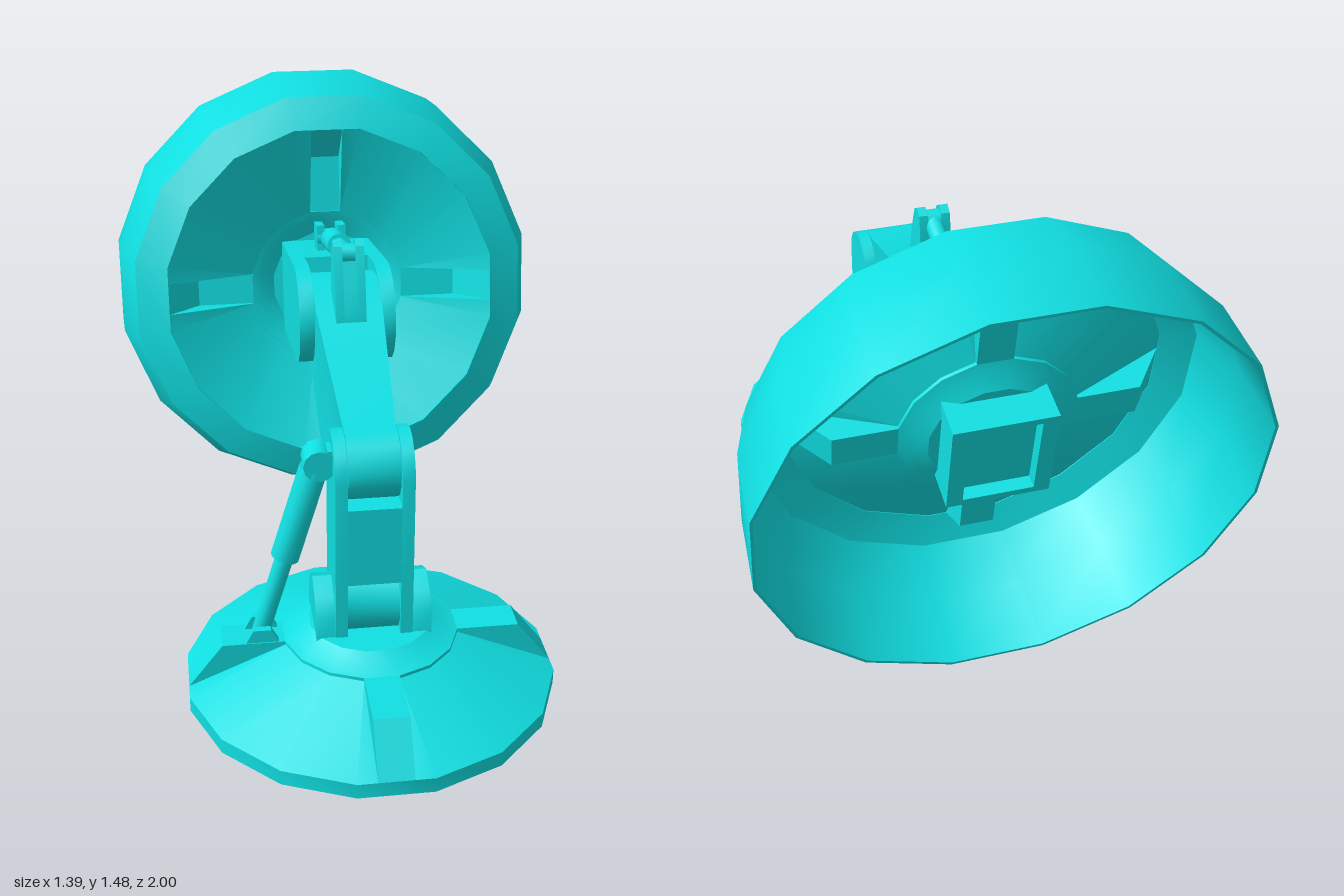
import * as THREE from 'three';
import { toCreasedNormals } from 'three/addons/utils/BufferGeometryUtils.js';

const SIDES = 16, HALF = Math.PI / SIDES, OUT = 1 / Math.cos(HALF);
const mat = new THREE.MeshStandardMaterial({ color: 0x10dfe2, side: THREE.DoubleSide });

function add(parent, name, geo, crease = 0.6) {
  const m = new THREE.Mesh(toCreasedNormals(geo, crease), mat);
  m.name = name;
  parent.add(m);
  return m;
}

function box(parent, name, w, h, d, x, y, z) {
  const m = add(parent, name, new THREE.BoxGeometry(w, h, d));
  m.position.set(x, y, z);
  return m;
}

// 16-sided turned part with flats facing the axes; radii are given to the flats
function turned(profile) {
  const pts = profile.map(([r, y]) => new THREE.Vector2(r * OUT, y));
  return new THREE.LatheGeometry(pts, SIDES, HALF, Math.PI * 2);
}

// points of an arc in the (z, y) plane, angles in degrees
function arc(cz, cy, r, a0, a1, n = 6) {
  return Array.from({ length: n + 1 }, (_, i) => {
    const a = THREE.MathUtils.degToRad(a0 + (a1 - a0) * i / n);
    return [cz + r * Math.cos(a), cy + r * Math.sin(a)];
  });
}

// (z, y) outline given thickness w along x, centred on x
function plate(parent, name, pts, w, x = 0) {
  const shape = new THREE.Shape(pts.map(p => new THREE.Vector2(...p)));
  const g = new THREE.ExtrudeGeometry(shape, { depth: w, bevelEnabled: false });
  g.translate(0, 0, -w / 2).rotateY(-Math.PI / 2).translate(x, 0, 0);
  return add(parent, name, g);
}

// cylinder whose axis runs along x
function pin(parent, name, r, w, x, y, z) {
  const m = add(parent, name, new THREE.CylinderGeometry(r, r, w, 16).rotateZ(Math.PI / 2));
  m.position.set(x, y, z);
  return m;
}

// shallow cone with four spokes, rising along +y from the rim
function ribbedCone() {
  const R = 0.53, r = 0.25, h = 0.12, top = 0.13, w = 0.05, knee = 0.43, v = [];
  const t = Math.tan(HALF);
  for (let i = 0; i < SIDES; i++) {
    const a = i * 2 * HALF, c = Math.cos(a), s = Math.sin(a);
    const poly = (...p) => {
      const q = p.map(([x, y, z]) => [x * c + z * s, y, z * c - x * s]);
      for (let k = 1; k < q.length - 1; k++) v.push(...q[0], ...q[k], ...q[k + 1]);
    };
    if (i % 4) {
      poly([-R * t, 0, R], [R * t, 0, R], [r * t, h, r], [-r * t, h, r]);
      continue;
    }
    poly([-R * t, 0, R], [-w, 0, R], [-w, h, r]);
    poly([w, 0, R], [R * t, 0, R], [w, h, r]);
    poly([-w, 0, R], [w, 0, R], [w, top, knee], [-w, top, knee]);
    poly([-w, top, knee], [w, top, knee], [w, top, r], [-w, top, r]);
    poly([w, 0, R], [w, h, r], [w, top, r], [w, top, knee]);
    poly([-w, 0, R], [-w, top, knee], [-w, top, r], [-w, h, r]);
  }
  const g = new THREE.BufferGeometry();
  g.setAttribute('position', new THREE.Float32BufferAttribute(v, 3));
  return g;
}

// cone plus its stepped hub
function ribbedDisc(parent, name) {
  const g = new THREE.Group();
  g.name = name;
  add(g, 'ribbedCone', ribbedCone(), 0.4);
  add(g, 'hub', turned([[0.25, 0.12], [0.25, 0.13], [0.22, 0.14], [0.175, 0.165], [0, 0.165]]), 0.4);
  parent.add(g);
  return g;
}

// rod a-b with a wider sleeve between fractions s0 and s1
function piston(parent, name, a, b, s0, s1, rodR, sleeveR) {
  const A = new THREE.Vector3(...a), B = new THREE.Vector3(...b);
  const dir = B.clone().sub(A), len = dir.length();
  const g = new THREE.Group();
  g.name = name;
  const rod = add(g, 'rod', new THREE.CylinderGeometry(rodR, rodR, len, 12));
  rod.position.y = len / 2;
  const sleeve = add(g, 'sleeve', new THREE.CylinderGeometry(sleeveR, sleeveR, len * (s1 - s0), 12));
  sleeve.position.y = len * (s0 + s1) / 2;
  g.position.copy(A);
  g.quaternion.setFromUnitVectors(new THREE.Vector3(0, 1, 0), dir.normalize());
  parent.add(g);
}

function createModel() {
  const model = new THREE.Group();
  model.name = 'articulatedDish';

  // round foot
  const base = new THREE.Group();
  base.name = 'base';
  base.position.z = 0.47;
  model.add(base);
  add(base, 'footPlate', turned([[0, 0], [0.53, 0], [0.53, 0.045]]));
  ribbedDisc(base, 'baseCone').position.y = 0.045;

  // brackets holding the upright
  for (const s of [-1, 1]) {
    plate(model, 'baseBracket', [[0.57, 0.18], [0.56, 0.27], [0.525, 0.32], [0.46, 0.35],
      [0.395, 0.32], [0.36, 0.27], [0.35, 0.18]], 0.055, s * 0.1375);
  }

  // upright link with a fork at each end
  const uprightOutline = [[0.57, 0.2], ...arc(0.46, 0.7, 0.11, 0, 180, 8), [0.35, 0.2]];
  for (const s of [-1, 1]) plate(model, 'uprightCheek', uprightOutline, 0.035, s * 0.0925);
  box(model, 'uprightCore', 0.16, 0.24, 0.219, 0, 0.5, 0.46);
  pin(model, 'lowerKnuckle', 0.1, 0.15, 0, 0.28, 0.46);

  // upper arm, narrowing toward the elbow
  const arm = plate(model, 'upperArm', [...arc(0.46, 0.71, 0.1, -90, 100, 8), [0, 0.98],
    [-0.12, 1.03], [-0.2, 1.02], [-0.25, 0.95], [-0.25, 0.85], [-0.2, 0.735],
    [0.36, 0.295], [0.4, 0.29], [0.41, 0.61]], 0.2);
  const p = arm.geometry.attributes.position;
  for (let i = 0; i < p.count; i++) {
    p.setX(i, p.getX(i) * (1 - 0.27 * THREE.MathUtils.clamp(p.getZ(i) / 0.42, 0, 1)));
  }
  arm.geometry = toCreasedNormals(arm.geometry, 0.6);

  // lever on top of the arm
  const lever = top => [[0.06, 0.94], [0.055, 0.98], [0.01, top - 0.06], [-0.01, top - 0.015],
    [-0.035, top], [-0.06, top - 0.015], [-0.07, top - 0.06], [-0.075, 0.97]];
  plate(model, 'leverCore', lever(1.14), 0.05);
  for (const s of [-1, 1]) plate(model, 'leverEar', lever(1.185), 0.025, s * 0.0325);

  // tilting dish, local z is its axis
  const dish = new THREE.Group();
  dish.name = 'dish';
  dish.position.set(0, 0.768, -0.872);
  dish.rotation.x = -0.185;
  model.add(dish);
  add(dish, 'dishRing', turned([[0.53, 0.41], [0.53, 0.425], [0.633, 0.383], [0.684, 0.222],
    [0.694, 0], [0.685, 0], [0.675, 0.22], [0.62, 0.37], [0.53, 0.41]]))
    .rotation.x = Math.PI / 2;
  const disc = ribbedDisc(dish, 'dishCone');
  disc.rotation.x = -Math.PI / 2;
  disc.position.z = 0.412;

  // clevis carrying the dish
  const cheek = [[0.15, -0.15], ...arc(0.715, 0, 0.15, -90, 90, 8), [0.15, 0.15]];
  for (const s of [-1, 1]) plate(dish, 'clevisCheek', cheek, 0.045, s * 0.1225);
  box(dish, 'clevisBlock', 0.21, 0.298, 0.39, 0, 0, 0.385);
  for (const s of [-1, 1]) box(dish, 'rearFrameBar', 0.21, 0.02, 0.05, 0, s * 0.14, 0.175);
  for (const s of [-1, 1]) box(dish, 'pistonLug', 0.025, 0.09, 0.09, s * 0.034, 0.185, 0.42);

  // pistons with their end joints
  piston(model, 'sidePiston', [-0.315, 0.19, 0.47], [-0.15, 0.735, 0.47], 0.44, 0.95, 0.027, 0.042);
  const sideJoint = add(model, 'sidePistonJoint', new THREE.CylinderGeometry(0.046, 0.046, 0.08, 12).rotateX(Math.PI / 2));
  sideJoint.position.set(-0.145, 0.73, 0.47);
  box(model, 'sidePistonPin', 0.06, 0.07, 0.06, -0.125, 0.735, 0.47);
  piston(model, 'backPiston', [0, 0.19, 0.085], [0, 0.64, -0.1], 0.2, 0.92, 0.025, 0.04);
  pin(model, 'backPistonJoint', 0.048, 0.08, 0, 0.625, -0.095);
  piston(model, 'topPiston', [0, 1.14, -0.035], [0, 1.03, -0.48], 0.44, 0.87, 0.026, 0.038);
  pin(model, 'topPistonFrontPin', 0.03, 0.07, 0, 1.14, -0.035);
  pin(model, 'topPistonRearPin', 0.03, 0.09, 0, 1.032, -0.475);

  // feet of the two lower pistons
  const lug = [[-0.05, 0.17], [0.05, 0.17], [0.025, 0.215], [-0.025, 0.215]];
  for (const s of [-1, 1]) {
    plate(model, 'backPistonFoot', lug, 0.022, s * 0.036).position.z = 0.085;
    const foot = plate(model, 'sidePistonFoot', lug, 0.022);
    foot.rotation.y = Math.PI / 2;
    foot.position.set(-0.315, 0, 0.47 + s * 0.036);
  }
  return model;
}

export { createModel };
